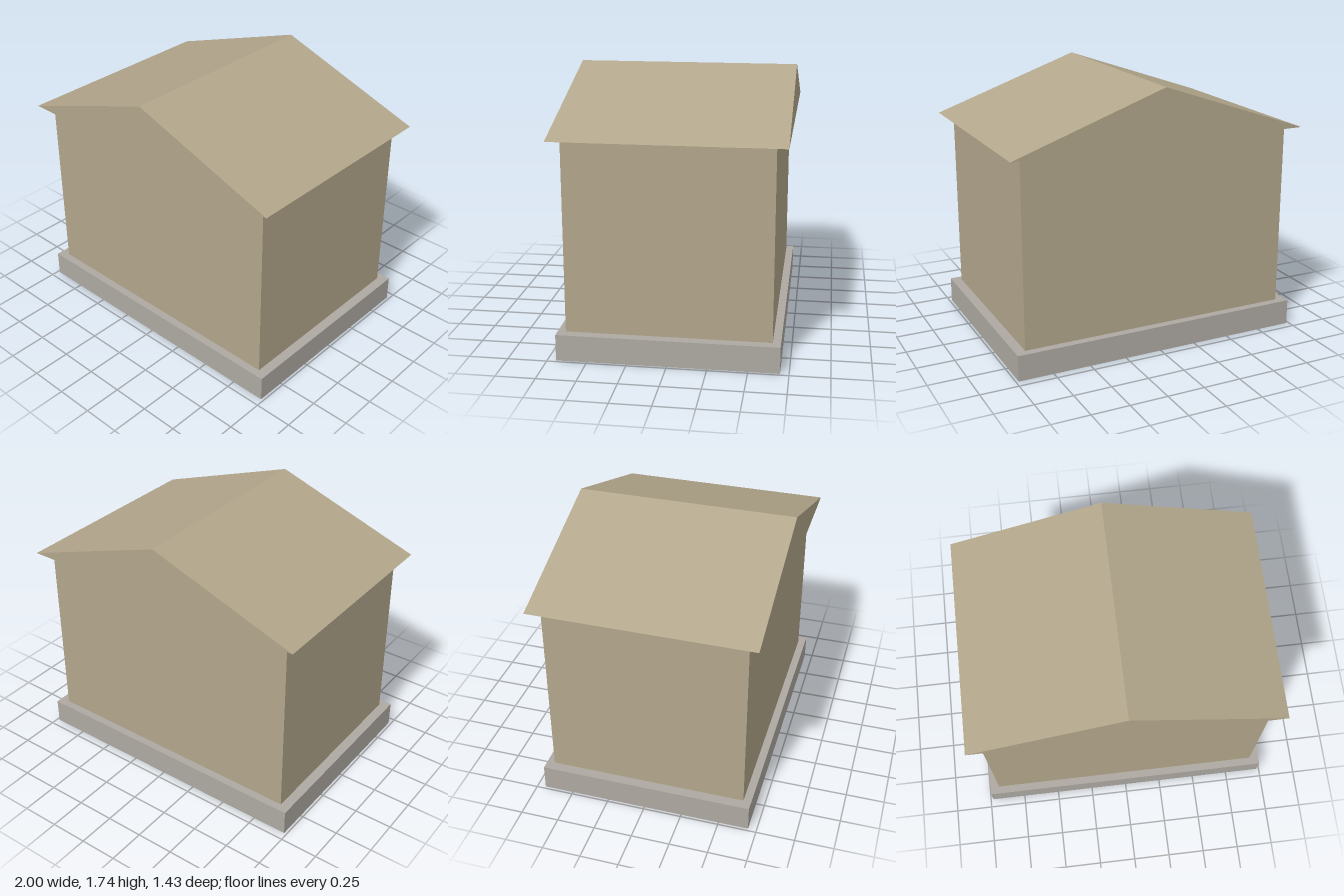
import * as THREE from 'three';

const material = (name, color) => {
  const m = new THREE.MeshStandardMaterial({ color });
  m.name = name;
  return m;
};

export function createModel() {
  const model = new THREE.Group();
  model.name = 'house';
  const sandstone = material('sandstone', 0xb3a78c);
  const stone = material('greyStone', 0xaea9a2);

  const add = (name, geometry, mat, y) => {
    const mesh = new THREE.Mesh(geometry, mat);
    mesh.name = name;
    mesh.position.y = y;
    model.add(mesh);
  };

  // Plinth and walls
  const block = (name, w, d, bottom, top, mat) =>
    add(name, new THREE.BoxGeometry(w, top - bottom, d), mat, (top + bottom) / 2);
  block('plinth', 1.965, 1.39, 0, 0.17, stone);
  block('walls', 1.835, 1.288, 0.17, 1.393, sandstone);

  // Solid gable roof with its ridge along z, overhanging all round
  const gable = new THREE.Shape([
    new THREE.Vector2(-1, 0),
    new THREE.Vector2(1, 0),
    new THREE.Vector2(0, 0.347),
  ]);
  const roof = new THREE.ExtrudeGeometry(gable, { depth: 1.432, bevelEnabled: false });
  roof.translate(0, 0, -0.716);
  add('gableRoof', roof, sandstone, 1.393);

  return model;
}
